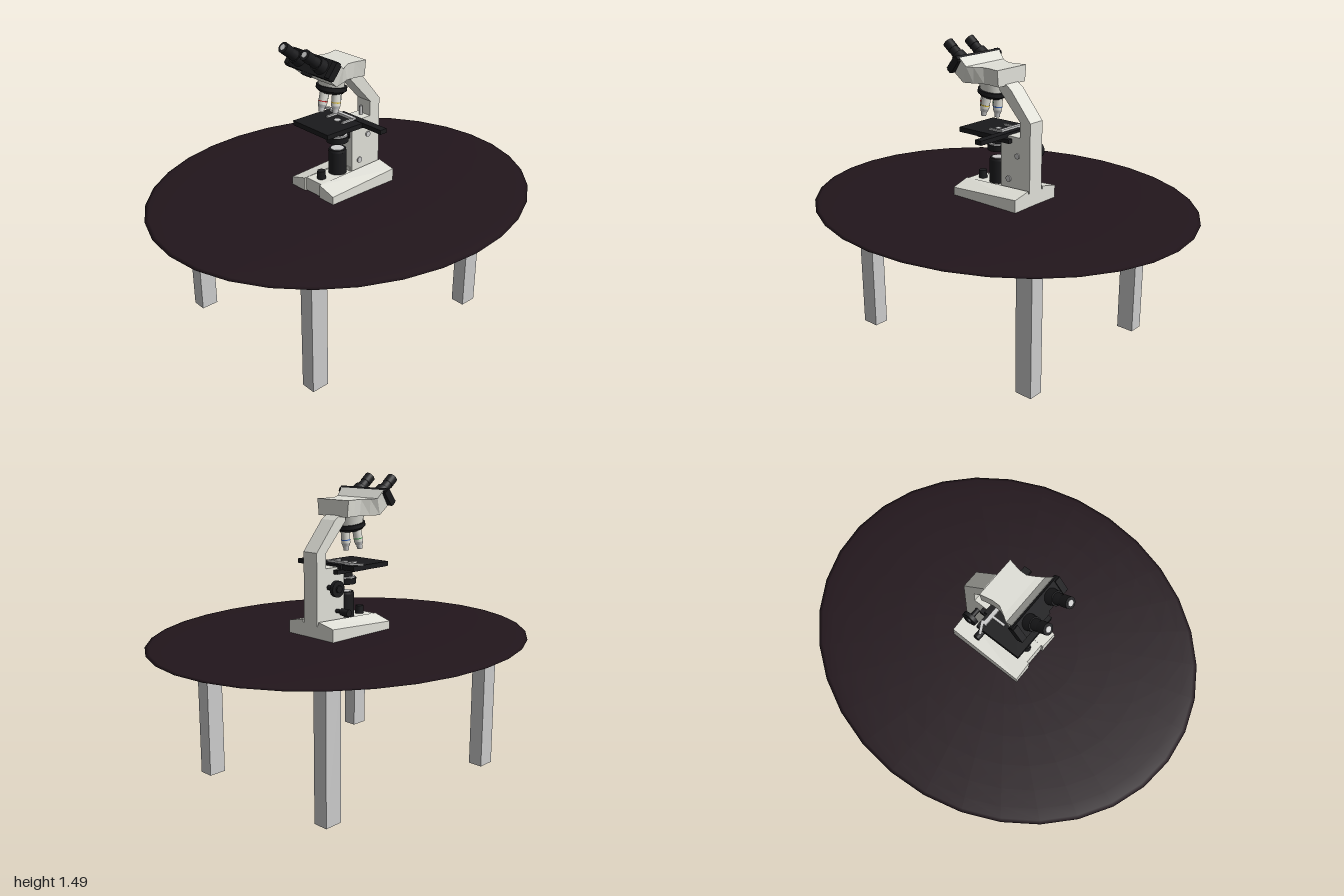
import * as THREE from 'three';

const mat = (color, flatShading = false) => new THREE.MeshStandardMaterial({ color, flatShading });
const BODY = mat(0xe0e0d8, true), BLACK = mat(0x1a1a1c, true), DARK = mat(0x1c1c1e);
const PALE = mat(0xe0e0d8), GREY = mat(0xcccccc);

export function createModel() {
  const root = new THREE.Group();

  function add(name, geometry, material, x = 0, y = 0, z = 0, parent = root) {
    const mesh = new THREE.Mesh(geometry, material);
    mesh.name = name;
    mesh.position.set(x, y, z);
    parent.add(mesh);
    return mesh;
  }
  const box = (name, w, h, d, m, x, y, z, p) => add(name, new THREE.BoxGeometry(w, h, d), m, x, y, z, p);
  const cyl = (name, rTop, rBottom, h, m, x, y, z, p) =>
    add(name, new THREE.CylinderGeometry(rTop, rBottom, h, 24), m, x, y, z, p);

  // Skin over convex sections, listed from back to front, each counter-clockwise from the front
  function loft(rings) {
    const pos = [], n = rings[0].length;
    const tri = (a, b, c) => pos.push(...a, ...b, ...c);
    for (let i = 0; i + 1 < rings.length; i++) {
      for (let j = 0; j < n; j++) {
        const k = (j + 1) % n, r = rings[i], s = rings[i + 1];
        tri(r[j], r[k], s[k]);
        tri(r[j], s[k], s[j]);
      }
    }
    const back = rings[0], front = rings[rings.length - 1];
    for (let j = 1; j < n - 1; j++) {
      tri(back[0], back[j + 1], back[j]);
      tri(front[0], front[j], front[j + 1]);
    }
    const g = new THREE.BufferGeometry();
    g.setAttribute('position', new THREE.Float32BufferAttribute(pos, 3));
    g.computeVertexNormals();
    return g;
  }

  // Table: flattened oval top on four square posts
  const top = add('tableTop', new THREE.SphereGeometry(1, 32, 16), mat(0x22161c), 0, 0.70, 0);
  top.scale.set(0.873, 0.023, 1);
  for (const [x, z] of [[-0.492, 0.535], [0.412, 0.535], [-0.418, -0.515], [0.412, -0.515]])
    box('tableLeg', 0.075, 0.7, 0.09, GREY, x, 0.35, z);

  // Foot: two sloping wings beside a centre block
  for (const s of [-1, 1]) {
    const section = (z, outer, inner) => {
      const p = [[s * 0.055, 0.715, z], [s * 0.152, 0.715, z], [s * 0.152, outer, z], [s * 0.055, inner, z]];
      return s > 0 ? p : p.reverse();
    };
    add('footWing', loft([section(-0.212, 0.785, 0.805), section(0.19, 0.762, 0.79)]), BODY);
  }
  box('footCentre', 0.112, 0.075, 0.39, BODY, 0, 0.7525, -0.016);

  // Arm: column that leans forward to the head
  const outline = [[-0.03, 0.78], [-0.03, 1.055], [-0.15, 1.055], [-0.15, 1.13], [-0.02, 1.27],
    [-0.02, 1.3], [-0.06, 1.3], [-0.09, 1.28], [-0.212, 1.135], [-0.212, 0.78]];
  const arm = new THREE.ExtrudeGeometry(new THREE.Shape(outline.map(p => new THREE.Vector2(...p))),
    { depth: 0.09, bevelEnabled: false });
  arm.translate(0, 0, -0.045).rotateY(-Math.PI / 2);
  add('arm', arm, BODY);
  cyl('stopPost', 0.008, 0.008, 0.05, GREY, 0, 1.075, -0.13);

  // Head: flares from the back to a raised, slanted front
  const headRing = (w, zb, yb, zt, yt) =>
    [[-w * 0.92, yb, zb], [w * 0.92, yb, zb], [w, yt, zt], [-w, yt, zt]];
  add('head', loft([
    headRing(0.105, -0.06, 1.294, -0.06, 1.374),
    headRing(0.092, 0.0, 1.294, 0.0, 1.374),
    headRing(0.092, 0.04, 1.294, 0.04, 1.374),
    headRing(0.115, 0.09, 1.294, 0.08, 1.374),
    headRing(0.135, 0.14, 1.294, 0.11, 1.376),
    headRing(0.142, 0.2, 1.345, 0.145, 1.415),
  ]), BODY);

  // Eyepiece unit: local +y is the viewing direction
  const eyes = new THREE.Group();
  eyes.name = 'eyepieceUnit';
  eyes.position.set(0, 1.38, 0.178);
  eyes.rotation.x = 0.9;
  root.add(eyes);
  box('eyepiecePanel', 0.31, 0.022, 0.092, BLACK, 0, 0, 0, eyes);
  box('panelTab', 0.06, 0.016, 0.02, BLACK, 0, 0, 0.05, eyes);
  for (const s of [-1, 1]) {
    const x = s * 0.075;
    box('panelEar', 0.03, 0.036, 0.08, BLACK, s * 0.142, 0, 0, eyes);
    cyl('eyepieceCollar', 0.034, 0.038, 0.045, DARK, x, 0.03, 0, eyes);
    cyl('eyepieceTube', 0.024, 0.028, 0.05, DARK, x, 0.07, 0, eyes);
    cyl('eyecup', 0.027, 0.027, 0.045, DARK, x, 0.113, 0, eyes);
    cyl('eyeLens', 0.014, 0.014, 0.003, GREY, x, 0.136, 0, eyes);
  }

  // Nosepiece with four slightly splayed objectives
  cyl('nosepieceMount', 0.07, 0.06, 0.055, PALE, 0, 1.272, 0.06);
  const turret = new THREE.Group();
  turret.name = 'turret';
  turret.position.set(0, 1.24, 0.062);
  turret.rotation.x = -0.17;
  root.add(turret);
  cyl('turretDisc', 0.074, 0.074, 0.02, DARK, 0, 0.004, 0, turret);
  cyl('turretBase', 0.072, 0.058, 0.014, DARK, 0, -0.013, 0, turret);
  const ringColors = [0xd03030, 0xd8b830, 0x3060c0, 0x40a050];
  ringColors.forEach((color, i) => {
    const spin = new THREE.Group();
    spin.name = 'objective';
    spin.rotation.y = i * Math.PI / 2;
    turret.add(spin);
    const lens = new THREE.Group();
    lens.position.set(0, -0.018, 0.04);
    lens.rotation.x = -0.08;
    spin.add(lens);
    cyl('objectiveBarrel', 0.022, 0.022, 0.058, PALE, 0, -0.029, 0, lens);
    cyl('objectiveRing', 0.0225, 0.0225, 0.005, mat(color), 0, -0.042, 0, lens);
    cyl('objectiveTaper', 0.022, 0.017, 0.016, GREY, 0, -0.066, 0, lens);
    cyl('objectiveTip', 0.015, 0.013, 0.022, GREY, 0, -0.084, 0, lens);
  });

  // Stage with its slide holder
  box('stagePlate', 0.25, 0.024, 0.245, BLACK, -0.015, 1.053, 0.062);
  box('stageBracket', 0.14, 0.02, 0.2, BLACK, 0, 1.033, 0.0);
  box('stageBar', 0.3, 0.022, 0.04, BLACK, 0.085, 1.056, -0.055);
  box('slideRail', 0.17, 0.012, 0.02, GREY, -0.03, 1.071, -0.035);
  const clip = box('slideClip', 0.07, 0.01, 0.014, GREY, -0.135, 1.073, -0.035);
  clip.rotation.y = 0.5;
  for (const x of [-0.06, 0.05]) box('slideFinger', 0.012, 0.008, 0.07, GREY, x, 1.069, 0.005);
  cyl('stageOpening', 0.016, 0.016, 0.003, GREY, 0, 1.066, 0.025);

  // Condenser below the stage
  cyl('condenserNeck', 0.038, 0.038, 0.05, DARK, 0, 1.015, 0.025);
  cyl('condenserBand', 0.05, 0.05, 0.008, GREY, 0, 0.991, 0.025);
  cyl('condenserRing', 0.056, 0.054, 0.03, DARK, 0, 0.973, 0.025);
  box('condenserMount', 0.06, 0.03, 0.06, BLACK, 0, 0.98, -0.02);

  // Lamp housing and dimmer knob
  cyl('lampHousing', 0.045, 0.045, 0.115, DARK, 0, 0.85, 0.025);
  cyl('lampLip', 0.042, 0.045, 0.012, DARK, 0, 0.913, 0.025);
  cyl('lampGlass', 0.032, 0.032, 0.004, GREY, 0, 0.919, 0.025);
  cyl('dimmerKnob', 0.02, 0.022, 0.045, DARK, 0, 0.808, 0.13);
  box('armFoot', 0.07, 0.02, 0.07, BODY, 0, 0.8, -0.06);

  // Focus controls on one side, with axle caps on the other
  const sideways = (name, r, len, m, x, y, z) => {
    cyl(name, r, r, len, m, x, y, z).rotation.z = Math.PI / 2;
  };
  sideways('focusShaft', 0.012, 0.07, DARK, -0.075, 0.963, -0.135);
  sideways('focusKnob', 0.04, 0.02, DARK, -0.103, 0.963, -0.135);
  sideways('fineFocusKnob', 0.018, 0.012, DARK, -0.115, 0.963, -0.135);
  sideways('lowerShaft', 0.01, 0.06, DARK, -0.07, 0.84, -0.08);
  sideways('lowerKnob', 0.018, 0.05, DARK, -0.105, 0.84, -0.08);
  sideways('axleCap', 0.014, 0.008, GREY, 0.047, 0.963, -0.135);
  sideways('axleCap', 0.015, 0.008, GREY, 0.047, 0.84, -0.08);

  return root;
}
